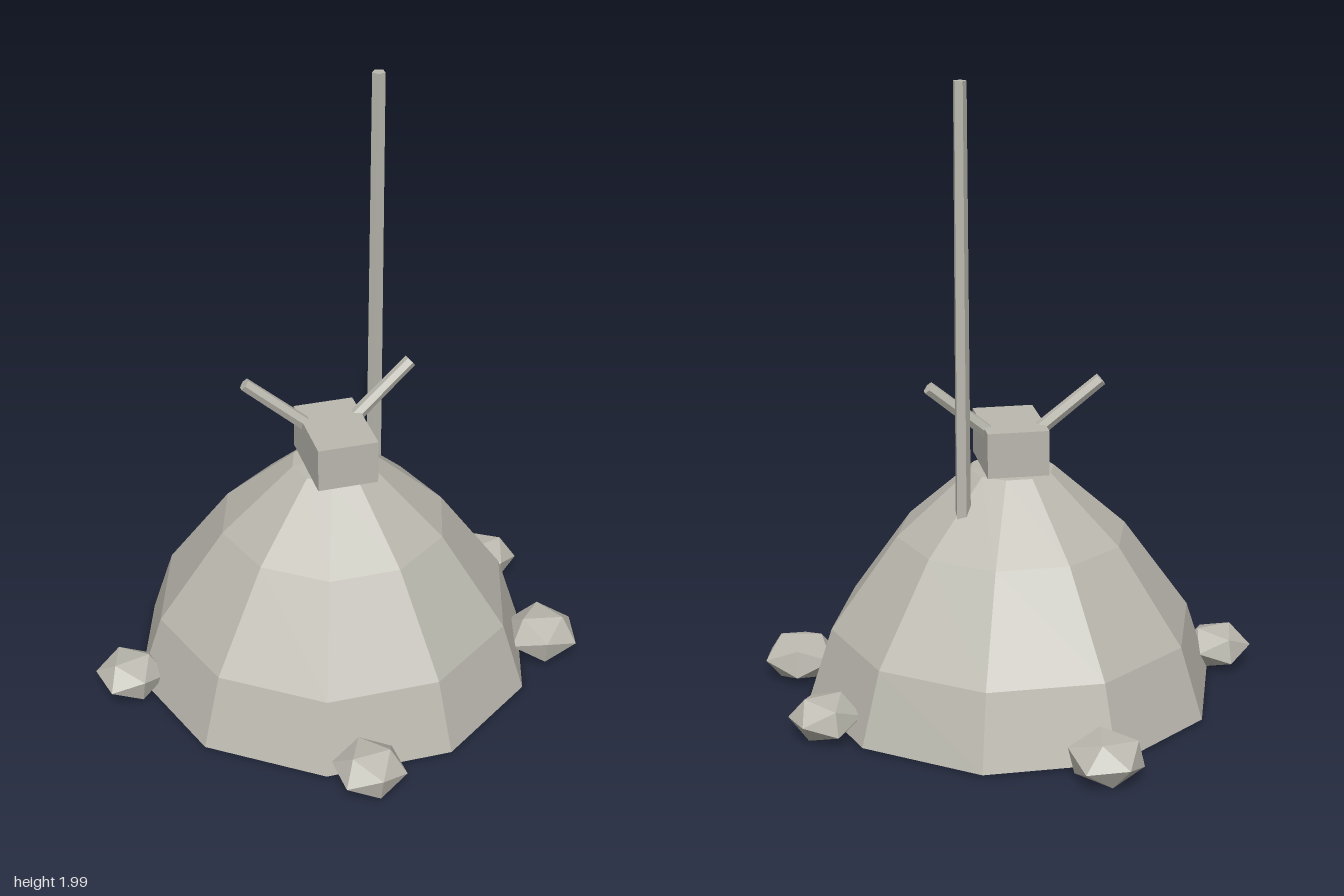
import * as THREE from 'three';

export function createModel() {
  const model = new THREE.Group();
  const stone = new THREE.MeshStandardMaterial({ color: 0xbab8ae, flatShading: true });
  stone.name = 'warm grey';

  const add = (name, geometry, x, y, z) => {
    const mesh = new THREE.Mesh(geometry, stone);
    mesh.name = name;
    mesh.position.set(x, y, z);
    model.add(mesh);
    return mesh;
  };

  // Ten-sided mound with a closed base and top
  const profile = [[0, 0.02], [0.66, 0.02], [0.585, 0.25], [0.37, 0.55], [0.135, 0.76], [0, 0.775]]
    .map(([r, y]) => new THREE.Vector2(r, y));
  add('mound', new THREE.LatheGeometry(profile, 10, Math.PI / 10), 0.01, 0, 0);

  // Block on the summit
  add('topBlock', new THREE.BoxGeometry(0.195, 0.145, 0.285), 0.01, 0.8375, 0.025);

  // Pair of short rods spreading from the block
  const up = new THREE.Vector3(0, 1, 0);
  for (const side of [1, -1]) {
    const start = new THREE.Vector3(0.01 + side * 0.08, 0.89, -0.033);
    const end = new THREE.Vector3(0.01 + side * 0.272, 1.052, -0.058);
    const direction = end.clone().sub(start);
    const rod = add(side > 0 ? 'leftRod' : 'rightRod',
      new THREE.CylinderGeometry(0.021, 0.023, direction.length(), 6),
      ...start.clone().add(end).multiplyScalar(0.5).toArray());
    rod.quaternion.setFromUnitVectors(up, direction.normalize());
  }

  // Tall five-sided pole
  add('pole', new THREE.CylinderGeometry(0.021, 0.025, 1.35, 5, 1, false, -Math.PI / 2), 0.19, 1.325, -0.14);

  // Flattened rocks around the foot: x, z, radius, turn
  const rocks = [
    [-0.075, 0.69, 0.118, 0.1],
    [0.68, 0.2, 0.126, -0.2],
    [0.645, -0.272, 0.115, 0.3],
    [-0.145, -0.695, 0.124, 1.4],
    [-0.687, 0.033, 0.115, 0.25],
  ];
  rocks.forEach(([x, z, radius, turn], i) => {
    const geometry = new THREE.IcosahedronGeometry(radius, 0);
    geometry.rotateX(0.15).rotateY(turn).scale(1, 0.65, 1);
    add(`rock${i + 1}`, geometry, x, 0.08, z);
  });

  return model;
}
